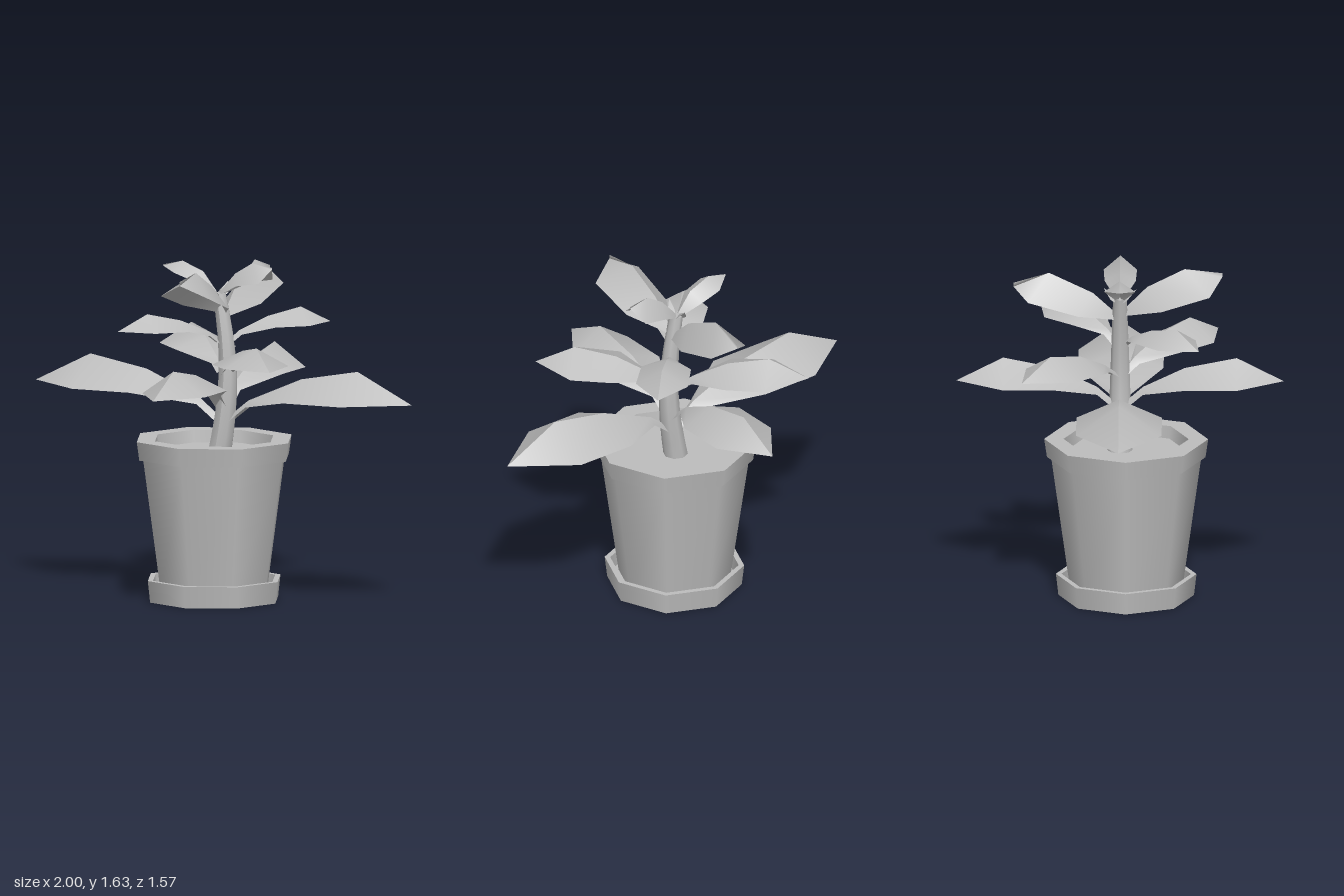
import * as THREE from 'three';

const grey = new THREE.MeshStandardMaterial({ color: 0xbdbdbd, side: THREE.DoubleSide });
grey.name = 'grey';

function add(parent, name, geometry) {
  const mesh = new THREE.Mesh(geometry, grey);
  mesh.name = name;
  parent.add(mesh);
  return mesh;
}

// Eight-sided wall between two radii and heights
function wall(parent, name, r0, y0, r1, y1) {
  const g = new THREE.CylinderGeometry(r1, r0, y1 - y0, 8, 1, true);
  return add(parent, name, g.translate(0, (y0 + y1) / 2, 0));
}

// Flat eight-sided ring or disc, facing up or down
function flat(parent, name, inner, outer, y, up = true) {
  const g = inner > 0 ? new THREE.RingGeometry(inner, outer, 8) : new THREE.CircleGeometry(outer, 8);
  return add(parent, name, g.rotateX(up ? -Math.PI / 2 : Math.PI / 2).translate(0, y, 0));
}

// Roof-shaped leaf growing along +x, creased along its ridge.
// Each row: [ridge distance, ridge height, edge distance, edge height, half width]
function leaf(parent, name, rows, degrees) {
  const group = new THREE.Group();
  group.name = name;
  for (const side of [1, -1]) {
    const pos = [], index = [];
    rows.forEach(([rx, ry, ex, ey, w], i) => {
      pos.push(rx, ry, 0, ex, ey, side * w);
      if (!i) return;
      const a = 2 * i - 2, b = a + 1, c = a + 2, d = a + 3;
      if (side > 0) index.push(a, b, d, a, d, c);
      else index.push(a, d, b, a, c, d);
    });
    const g = new THREE.BufferGeometry();
    g.setAttribute('position', new THREE.Float32BufferAttribute(pos, 3));
    g.setIndex(index);
    g.computeVertexNormals();
    add(group, name + (side > 0 ? 'NearHalf' : 'FarHalf'), g);
  }
  group.rotation.y = THREE.MathUtils.degToRad(degrees);
  parent.add(group);
}

export function createModel() {
  const model = new THREE.Group();
  model.name = 'pottedPlant';

  // Pot, saucer and soil
  const pot = new THREE.Group();
  pot.name = 'pot';
  pot.position.set(-0.038, 0, 0.03);
  model.add(pot);
  flat(pot, 'saucerBottom', 0, 0.325, 0, false);
  wall(pot, 'saucerWall', 0.325, 0, 0.337, 0.105);
  flat(pot, 'saucerLip', 0.31, 0.337, 0.105);
  wall(pot, 'saucerInside', 0.3, 0.04, 0.31, 0.105);
  flat(pot, 'saucerFloor', 0, 0.3, 0.04);
  wall(pot, 'potBody', 0.27, 0.04, 0.36, 0.69);
  flat(pot, 'rimUnderside', 0.36, 0.38, 0.69, false);
  wall(pot, 'rimWall', 0.38, 0.69, 0.393, 0.78);
  flat(pot, 'rimTop', 0.3, 0.393, 0.78);
  wall(pot, 'rimInside', 0.29, 0.72, 0.3, 0.78);
  flat(pot, 'soil', 0, 0.29, 0.72);

  // Gently bowed stem
  const stem = new THREE.CylinderGeometry(0.033, 0.06, 0.78, 8, 8).translate(0, 1.09, 0);
  const p = stem.attributes.position;
  for (let i = 0; i < p.count; i++) {
    const t = (p.getY(i) - 0.7) / 0.78;
    p.setX(i, p.getX(i) - 0.025 + 0.045 * Math.sin(Math.PI * t));
  }
  stem.computeVertexNormals();
  add(model, 'stem', stem);

  // Leaf tiers, from the widest at the bottom to the top
  const wide = [[0.03, 0.89, 0.03, 0.86, 0.03], [0.13, 0.97, 0.13, 0.94, 0.035],
    [0.41, 1.09, 0.41, 1.0, 0.205], [0.71, 1.145, 0.71, 1.0, 0.205], [1, 1, 1, 1, 0]];
  const long = [[0.03, 0.96, 0.03, 0.93, 0.03], [0.11, 1.03, 0.11, 1.0, 0.035],
    [0.31, 1.125, 0.31, 1.06, 0.165], [0.56, 1.175, 0.56, 1.06, 0.165], [0.785, 1.06, 0.785, 1.06, 0]];
  const middle = [[0.03, 1.11, 0.03, 1.09, 0.025], [0.1, 1.16, 0.1, 1.13, 0.03],
    [0.27, 1.24, 0.27, 1.18, 0.155], [0.47, 1.278, 0.47, 1.185, 0.163], [0.66, 1.185, 0.66, 1.185, 0]];
  const small = [[0.03, 1.26, 0.03, 1.24, 0.025], [0.08, 1.3, 0.08, 1.28, 0.03],
    [0.22, 1.36, 0.22, 1.32, 0.12], [0.39, 1.398, 0.39, 1.32, 0.125], [0.54, 1.32, 0.54, 1.32, 0]];
  const upperFront = [[0.02, 1.42, 0.02, 1.39, 0.02], [0.13, 1.53, 0.2, 1.44, 0.12],
    [0.31, 1.62, 0.43, 1.515, 0.13], [0.49, 1.6, 0.49, 1.58, 0]];
  const upperBack = [[0.02, 1.4, 0.02, 1.37, 0.02], [0.13, 1.5, 0.2, 1.41, 0.1],
    [0.34, 1.6, 0.44, 1.48, 0.105], [0.51, 1.55, 0.51, 1.53, 0]];
  const topLeft = [[-0.02, 1.49, -0.02, 1.47, 0.015], [0.06, 1.58, 0.1, 1.53, 0.075],
    [0.15, 1.635, 0.22, 1.55, 0.08], [0.255, 1.62, 0.255, 1.61, 0]];
  const topRight = [[0.04, 1.49, 0.04, 1.47, 0.015], [0.11, 1.58, 0.13, 1.54, 0.07],
    [0.22, 1.625, 0.23, 1.575, 0.075], [0.325, 1.6, 0.325, 1.595, 0]];
  const bud = [[0, 1.46, 0, 1.45, 0.01], [0.03, 1.5, 0.04, 1.48, 0.03], [0.08, 1.53, 0.08, 1.53, 0]];

  for (const turn of [0, 180]) {
    leaf(model, 'wideLeaf', wide, turn);
    leaf(model, 'longLeaf', long, turn + 90);
    leaf(model, 'middleLeaf', middle, turn - 45);
    leaf(model, 'smallLeaf', small, turn + 45);
  }
  leaf(model, 'upperFrontLeaf', upperFront, -90);
  leaf(model, 'upperBackLeaf', upperBack, 90);
  leaf(model, 'topLeftLeaf', topLeft, 0);
  leaf(model, 'topRightLeaf', topRight, 180);

  // Young leaves at the tip of the stem
  const tip = new THREE.Group();
  tip.name = 'tipBud';
  tip.position.set(-0.03, 0, 0);
  model.add(tip);
  for (const turn of [80, 260]) leaf(tip, 'budLeaf', bud, turn);
  return model;
}
